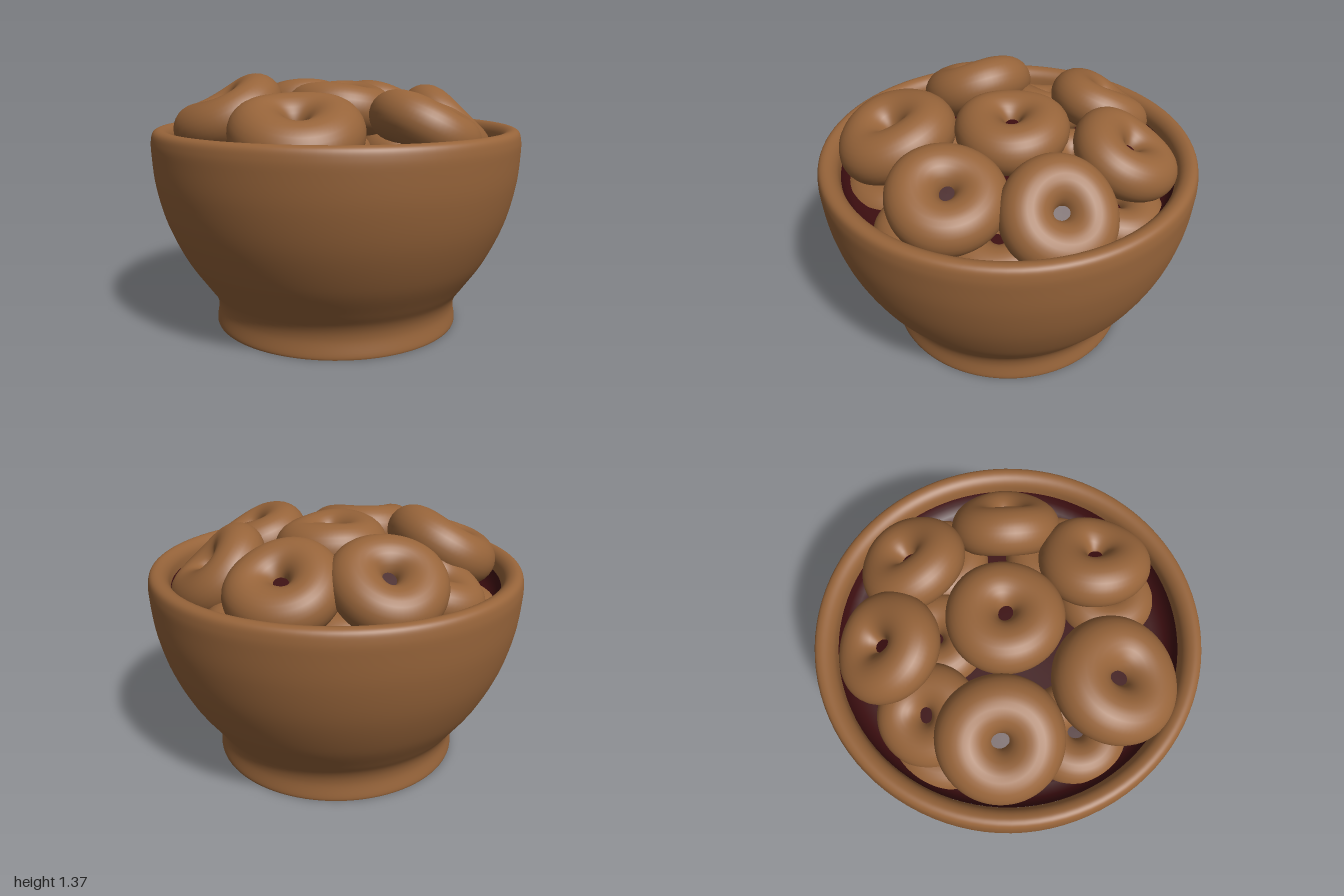
import * as THREE from 'three';

export function createModel() {
  const model = new THREE.Group();
  model.name = 'bowlOfRings';
  const brown = new THREE.MeshStandardMaterial({ color: 0x97643a });
  brown.name = 'warmBrown';
  const darkRed = new THREE.MeshStandardMaterial({ color: 0x3d0e10 });
  darkRed.name = 'darkRed';

  const add = (name, geometry, material, parent = model) => {
    const mesh = new THREE.Mesh(geometry, material);
    mesh.name = name;
    parent.add(mesh);
    return mesh;
  };
  const vectors = (points) => points.map(([r, y]) => new THREE.Vector2(r, y));
  const lathe = (points) => new THREE.LatheGeometry(points, 96);

  // Bowl: flat base, flared foot, curved wall and rounded rim
  add('bowlBase', new THREE.CircleGeometry(0.68, 96).rotateX(Math.PI / 2), brown);
  const outside = new THREE.SplineCurve(vectors([
    [0.68, 0], [0.682, 0.02], [0.672, 0.1], [0.69, 0.17], [0.745, 0.25], [0.845, 0.4],
    [0.935, 0.6], [0.985, 0.8], [1, 0.97], [0.998, 1.04], [0.985, 1.077], [0.955, 1.09],
    [0.92, 1.078], [0.895, 1.045], [0.885, 0.99],
  ])).getPoints(80);
  add('bowlWall', lathe(outside), brown);

  // Dark lining and filling inside the bowl
  add('filling', lathe(vectors([
    [0.886, 1.0], [0.872, 0.96], [0.84, 0.92], [0.78, 0.9], [0, 0.9],
  ])), darkRed);

  // Plump ring with a pinched hole; a gentle wave makes it look hand shaped
  const addRing = (name, x, y, z, radius, leanX, leanZ, wave) => {
    const ring = new THREE.Group();
    ring.name = name;
    const tube = radius * 0.445;
    const geometry = new THREE.TorusGeometry(radius - tube, tube, 28, 64).rotateX(Math.PI / 2);
    const p = geometry.attributes.position;
    for (let i = 0; i < p.count; i++) {
      const angle = Math.atan2(p.getZ(i), p.getX(i));
      p.setY(i, p.getY(i) * 0.97 + 0.012 * Math.cos(2 * angle + wave));
    }
    // Keep the torus normals, which are continuous across its seams
    add('ringBody', geometry, brown, ring);
    add('ringHole', new THREE.CircleGeometry(0.045, 20).rotateX(-Math.PI / 2), darkRed, ring)
      .position.y = 0.035;
    ring.position.set(x, y, z);
    // leanX and leanZ point the upper face outward
    ring.quaternion.setFromUnitVectors(
      new THREE.Vector3(0, 1, 0), new THREE.Vector3(leanX, 1, leanZ).normalize());
    model.add(ring);
  };

  // Upper layer: x, y, z, radius, lean towards x, lean towards z, wave
  [
    [-0.07, 1.14, -0.61, 0.29, 0, -0.6, 0],
    [0.40, 1.12, -0.47, 0.29, 0.32, -0.42, 1],
    [-0.58, 1.15, -0.085, 0.315, -0.5, 0, 0.5],
    [0.03, 1.19, -0.01, 0.30, 0.05, 0.03, 2],
    [0.63, 1.065, 0.04, 0.295, 0.9, 0.05, 0],
    [-0.32, 1.10, 0.51, 0.33, -0.05, 0.32, 0],
    [0.34, 1.115, 0.485, 0.295, 0.4, 0.1, 1.5],
    [-0.40, 1.02, -0.43, 0.265, -0.25, -0.3, 3],
  ].forEach((r, i) => addRing(`upperRing${i + 1}`, ...r));

  // Lower layer peeking out of the filling
  [
    [-0.52, 0.89, 0.30], [-0.20, 0.87, 0.58], [0.24, 0.87, 0.56], [0.50, 0.88, 0.30],
    [0.52, 0.88, -0.34], [0.05, 0.88, -0.38], [-0.50, 0.88, -0.36],
  ].forEach(([x, y, z], i) => addRing(`lowerRing${i + 1}`, x, y, z, 0.27, x * 0.2, z * 0.2, i));

  return model;
}
